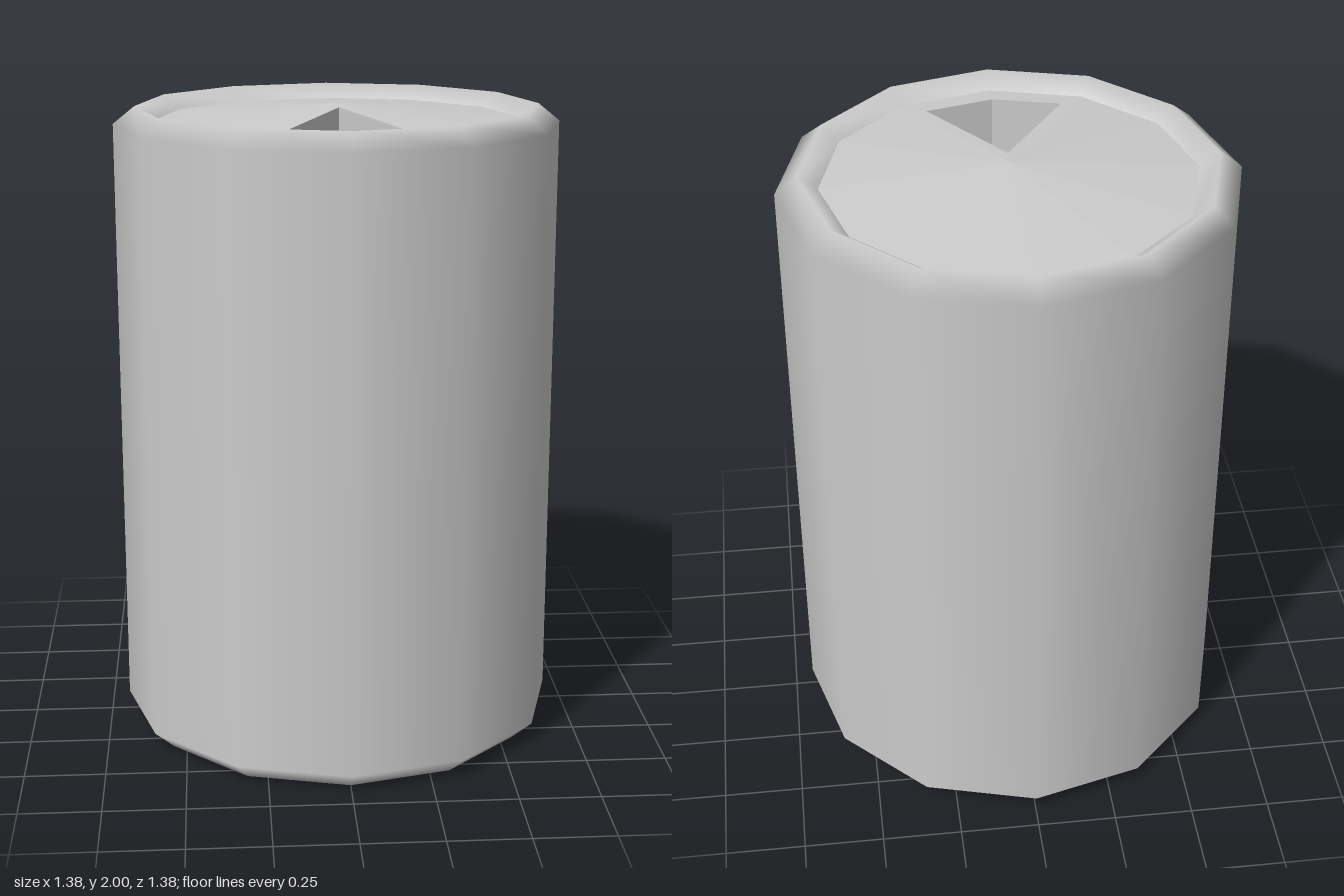
import * as THREE from 'three';

const SIDES = 12;
const LID_R = 0.565, LID_Y = 1.95, TOP = 2.0;

// Flat-faced geometry from convex polygons (corners counter-clockwise from outside)
function facesGeometry(faces) {
  const pos = [];
  for (const f of faces)
    for (let i = 1; i < f.length - 1; i++)
      for (const p of [f[0], f[i], f[i + 1]]) pos.push(p.x, p.y, p.z);
  const g = new THREE.BufferGeometry();
  g.setAttribute('position', new THREE.Float32BufferAttribute(pos, 3));
  g.computeVertexNormals();
  return g;
}

const lathe = (points) =>
  new THREE.LatheGeometry(points.map(([r, y]) => new THREE.Vector2(r, y)), SIDES);

export function createModel() {
  const group = new THREE.Group();
  const mat = new THREE.MeshStandardMaterial({ color: 0xcccccc, side: THREE.DoubleSide });
  const add = (geometry, name) => {
    const mesh = new THREE.Mesh(geometry, mat);
    mesh.name = name;
    group.add(mesh);
  };

  // Can body: bottom rim, wall and top rim, each rim sloping inwards
  const body = lathe([
    [LID_R, 0.05], [0.625, 0], [0.692, 0.06],
    [0.692, 1.94], [0.625, 1.994], [LID_R, LID_Y],
  ]);
  // Keep the wall's shading level so the bevels blend softly into it
  const { position, normal } = body.attributes;
  for (let i = 0; i < position.count; i++) {
    const x = position.getX(i), z = position.getZ(i), r = Math.hypot(x, z);
    if (r > 0.65) normal.setXYZ(i, x / r, 0, z / r);
  }
  add(body, 'canBody');

  // Underside: smooth dome pressed up into the can
  add(lathe([[0, 0.21], [0.2, 0.19], [0.4, 0.13], [LID_R, 0.05]]), 'bottomDome');

  // Lid: shallow cone fan, with the two front wedges left for the opening
  const centre = new THREE.Vector3(0, TOP, 0);
  const ring = Array.from({ length: SIDES }, (_, i) => {
    const a = (i / SIDES) * Math.PI * 2;
    return new THREE.Vector3(Math.sin(a) * LID_R, LID_Y, Math.cos(a) * LID_R);
  });
  const lid = [];
  for (let i = 1; i < SIDES - 1; i++) lid.push([centre, ring[i], ring[i + 1]]);

  // Drinking opening: border on the lid, side walls and floor
  const outer = [centre, ring[SIDES - 1], ring[0], ring[1]];
  const inner = [[0, 0.07], [-0.21, 0.435], [0, 0.49], [0.21, 0.435]].map(([x, z]) =>
    new THREE.Vector3(x, TOP - (TOP - LID_Y) * Math.hypot(x, z) / LID_R, z));
  const floor = inner.map((p) => new THREE.Vector3(p.x, 1.7, p.z));
  const walls = [floor];
  for (let i = 0; i < 4; i++) {
    const j = (i + 1) % 4;
    lid.push([outer[i], outer[j], inner[j], inner[i]]);
    walls.push([inner[i], inner[j], floor[j], floor[i]]);
  }
  add(facesGeometry(lid), 'lid');
  add(facesGeometry(walls), 'lidOpening');

  return group;
}
